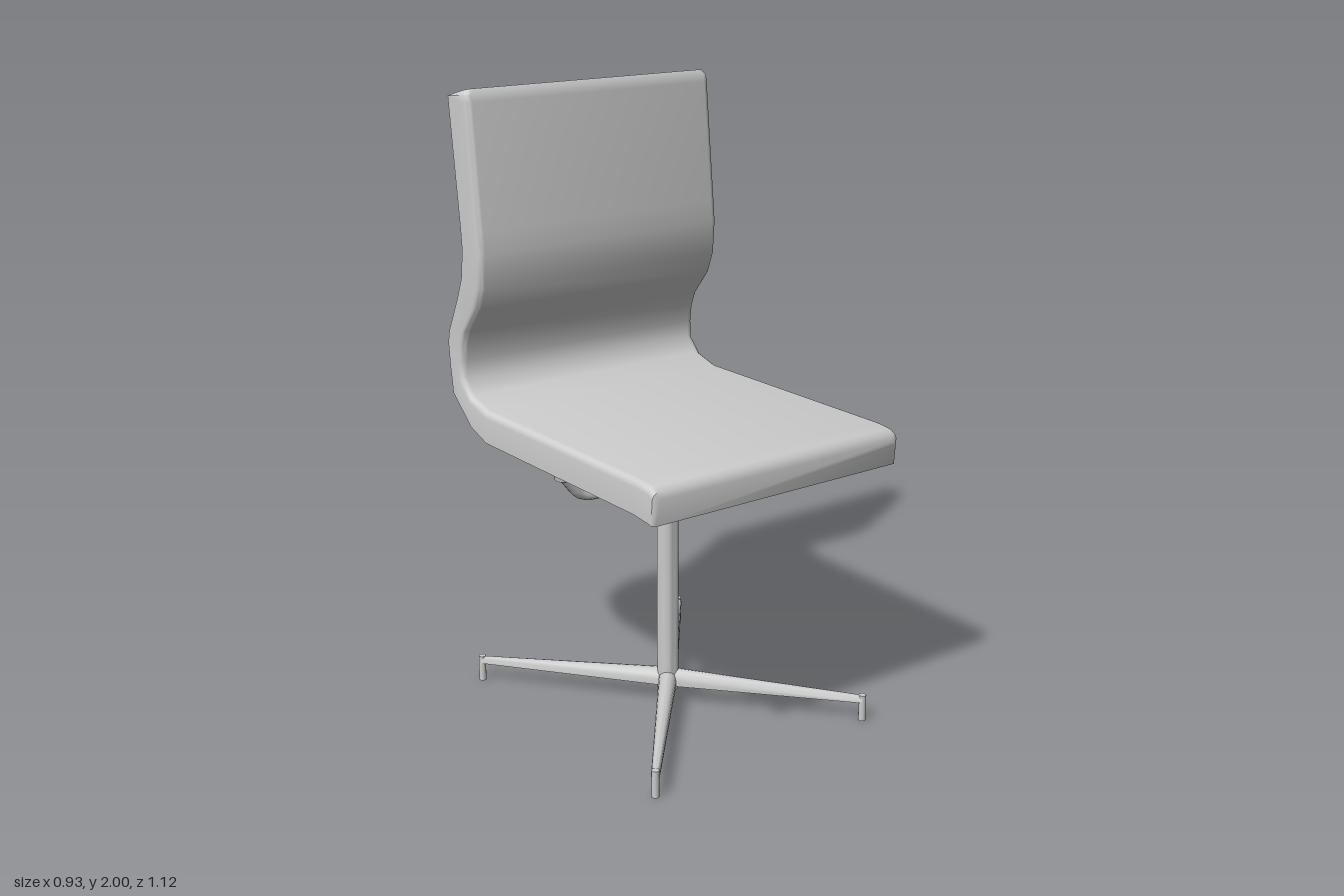
import * as THREE from 'three';
import { toCreasedNormals } from 'three/addons/utils/BufferGeometryUtils.js';

const material = new THREE.MeshStandardMaterial({ color: 0xcccccc, side: THREE.DoubleSide });

function addMesh(parent, name, geometry) {
  const mesh = new THREE.Mesh(geometry, material);
  mesh.name = name;
  parent.add(mesh);
  return mesh;
}

// Skin a list of equal-length point rings and close both ends.
function loft(rings, crease) {
  const n = rings[0].length;
  const index = [];
  for (let i = 0; i < rings.length - 1; i++) {
    for (let j = 0; j < n; j++) {
      const a = i * n + j, b = i * n + (j + 1) % n;
      index.push(a, b, a + n, b, b + n, a + n);
    }
  }
  const last = (rings.length - 1) * n;
  for (let j = 1; j < n - 1; j++) {
    index.push(0, j + 1, j, last, last + j, last + j + 1);
  }
  const geometry = new THREE.BufferGeometry();
  geometry.setAttribute('position', new THREE.Float32BufferAttribute(rings.flat(2), 3));
  geometry.setIndex(index);
  return toCreasedNormals(geometry, crease);
}

// Padded shell: stations of [upper z, upper y, lower z, lower y] from seat front to back top.
function shellGeometry() {
  const stations = [
    [0.56, 0.962, 0.555, 0.884],
    [0.553, 0.984, 0.545, 0.885],
    [0.535, 0.995, 0.53, 0.888],
    [0.48, 1.0, 0.46, 0.895],
    [-0.34, 1.0, -0.34, 0.895],
    [-0.435, 1.026, -0.43, 0.926],
    [-0.478, 1.075, -0.535, 1.015],
    [-0.478, 1.13, -0.548, 1.1],
    [-0.47, 1.185, -0.556, 1.18],
    [-0.45, 1.235, -0.547, 1.222],
    [-0.38, 1.32, -0.492, 1.33],
    [-0.353, 1.39, -0.46, 1.405],
    [-0.345, 1.5, -0.448, 1.5],
    [-0.352, 1.57, -0.454, 1.57],
    [-0.393, 1.96, -0.5, 1.945],
    [-0.397, 1.985, -0.503, 1.972],
    [-0.41, 2.0, -0.503, 1.975],
  ];
  const half = 0.465, round = 0.022;
  const rings = stations.map(([uz, uy, lz, ly], i) => {
    const length = Math.hypot(lz - uz, ly - uy);
    // Inset the corners at the front lip and the top edge.
    const w = half - (i === 0 || i === stations.length - 1 ? 0.01 : 0);
    const at = (x, depth) => {
      const t = depth / length;
      return [x, uy + (ly - uy) * t, uz + (lz - uz) * t];
    };
    const ring = [at(-w, length)];
    for (const side of [-1, 1]) {
      for (let k = 0; k <= 4; k++) {
        const a = (side < 0 ? k : 4 - k) * Math.PI / 8;
        ring.push(at(side * (w - round + round * Math.cos(a)), round * (1 - Math.sin(a))));
      }
    }
    ring.push(at(w, length));
    return ring;
  });
  return loft(rings, 0.8);
}

// Tapered leg along +x with a crowned top.
function legGeometry(length) {
  const rings = [[0, 0.03, 0.062, 0.115], [length, 0.013, 0.064, 0.086]].map(
    ([x, w, bottom, top]) => {
      const ring = [[x, bottom, -w]];
      for (let k = 0; k <= 6; k++) {
        const a = Math.PI * (1 - k / 6);
        ring.push([x, bottom + (top - bottom) * (0.35 + 0.65 * Math.sin(a)), w * Math.cos(a)]);
      }
      ring.push([x, bottom, w]);
      return ring.reverse();
    });
  return loft(rings, 0.8);
}

export function createModel() {
  const model = new THREE.Group();
  model.name = 'swivelChair';

  addMesh(model, 'seatShell', shellGeometry());

  // Telescoping column
  const profile = [[0, 0.045], [0.035, 0.045], [0.035, 0.668], [0.03, 0.67],
    [0.03, 0.765], [0.022, 0.79], [0, 0.795]].map(([r, y]) => new THREE.Vector2(r, y));
  addMesh(model, 'column', toCreasedNormals(new THREE.LatheGeometry(profile, 24), 0.6));

  // Bent yoke under the seat, oval in section
  const path = new THREE.CurvePath();
  const v = (x, y) => new THREE.Vector3(x, y, 0);
  path.add(new THREE.LineCurve3(v(-0.41, 0.885), v(-0.355, 0.815)));
  path.add(new THREE.QuadraticBezierCurve3(v(-0.355, 0.815), v(-0.335, 0.788), v(-0.29, 0.788)));
  path.add(new THREE.QuadraticBezierCurve3(v(-0.29, 0.788), v(0, 0.78), v(0.29, 0.788)));
  path.add(new THREE.QuadraticBezierCurve3(v(0.29, 0.788), v(0.335, 0.788), v(0.355, 0.815)));
  path.add(new THREE.LineCurve3(v(0.355, 0.815), v(0.41, 0.885)));
  const yoke = addMesh(model, 'yoke', new THREE.TubeGeometry(path, 64, 0.018, 12));
  yoke.scale.z = 1.5;

  // Flared pads where the yoke meets the seat
  for (const side of [-1, 1]) {
    const flare = [[0.018, 0.855], [0.021, 0.872], [0.027, 0.888], [0.027, 0.897]]
      .map(([r, y]) => new THREE.Vector2(r, y));
    const pad = addMesh(model, 'yokePad', new THREE.LatheGeometry(flare, 16));
    pad.position.x = side * 0.405;
    pad.scale.z = 1.4;
  }

  // Four-star base with a peg foot under each leg tip
  const reach = Math.hypot(0.415, 0.495);
  for (const sx of [-1, 1]) {
    for (const sz of [-1, 1]) {
      const leg = new THREE.Group();
      leg.name = 'baseLeg';
      leg.rotation.y = Math.atan2(-sz * 0.495, sx * 0.415);
      addMesh(leg, 'legBeam', legGeometry(reach));
      const foot = addMesh(leg, 'foot', new THREE.CylinderGeometry(0.012, 0.012, 0.088, 12));
      foot.position.set(reach, 0.044, 0);
      model.add(leg);
    }
  }
  return model;
}
